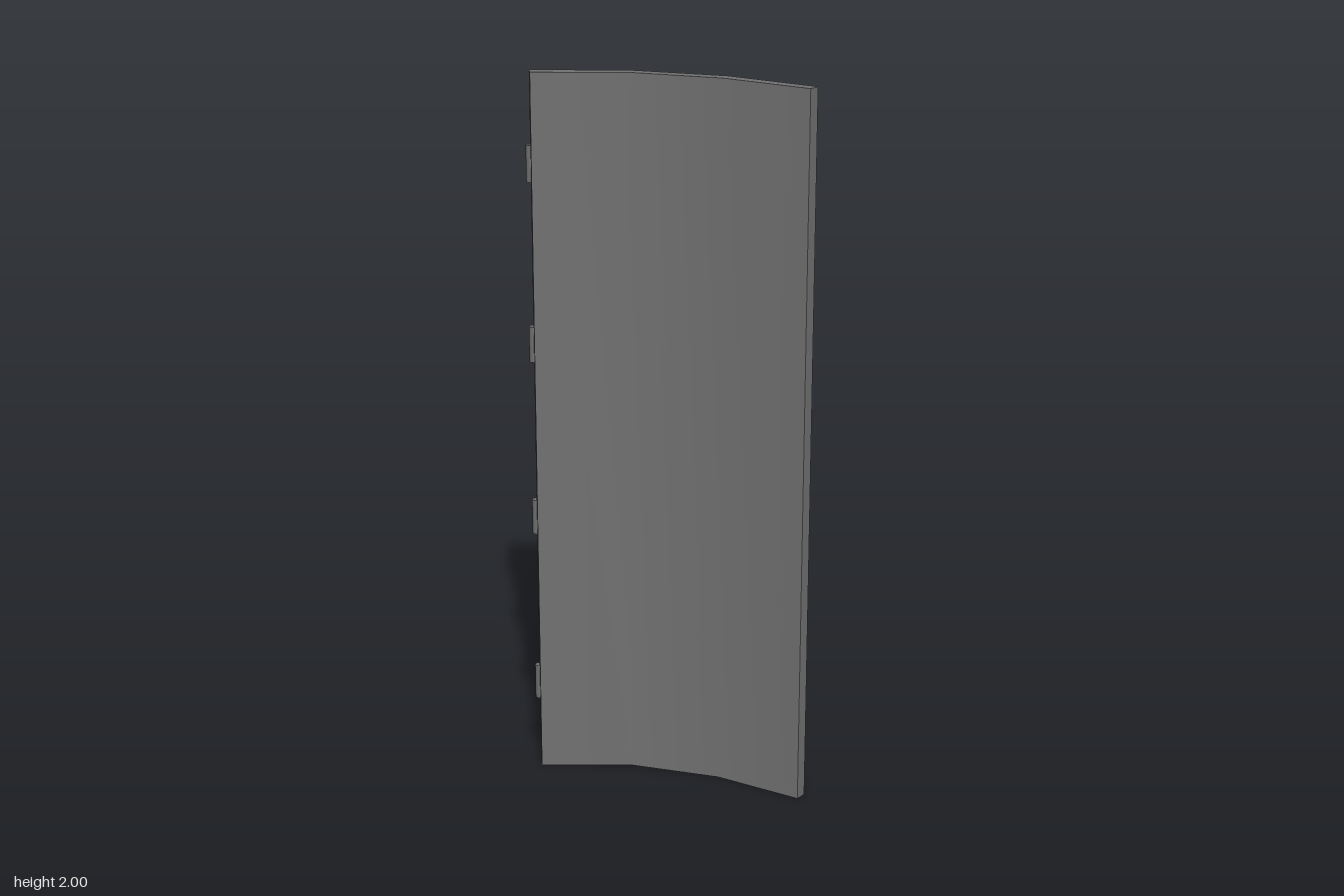
import * as THREE from 'three';
import { toCreasedNormals } from 'three/addons/utils/BufferGeometryUtils.js';

export function createModel() {
  const model = new THREE.Group();
  const darkMetal = new THREE.MeshStandardMaterial({ name: 'dark grey metal', color: 0x717171 });
  const lightMetal = new THREE.MeshStandardMaterial({ name: 'light grey metal', color: 0xa5a5a5 });

  // Curved door leaf: plan outline (x, z), back edge then front edge, extruded upwards
  const back = [[-0.353, 0.135], [-0.143, -0.025], [0.103, -0.126], [0.364, -0.16]];
  const front = [[0.364, -0.128], [0.111, -0.094], [-0.125, 0], [-0.328, 0.16]];
  const shape = new THREE.Shape([...back, ...front].map(([x, z]) => new THREE.Vector2(x, -z)));
  const leaf = new THREE.ExtrudeGeometry(shape, { depth: 2, bevelEnabled: false });
  leaf.rotateX(-Math.PI / 2);
  const panel = new THREE.Mesh(toCreasedNormals(leaf, Math.PI / 6), darkMetal);
  panel.name = 'curvedPanel';
  model.add(panel);

  // Lighter skin on the back, following the same curve
  const skin = new THREE.PlaneGeometry(1, 2, 3, 1);
  const pos = skin.attributes.position;
  for (let i = 0; i < pos.count; i++) {
    const [x, z] = back[3 - (i % 4)];
    pos.setXYZ(i, x, pos.getY(i) + 1, z - 0.0015);
  }
  skin.computeVertexNormals();
  const backSkin = new THREE.Mesh(skin, lightMetal);
  backSkin.name = 'backSkin';
  model.add(backSkin);

  // Four hinge barrels along the right edge
  const barrel = new THREE.CylinderGeometry(0.0125, 0.0125, 0.1, 8);
  for (let i = 0; i < 4; i++) {
    const hinge = new THREE.Mesh(barrel, darkMetal);
    hinge.name = `hinge${i + 1}`;
    hinge.position.set(-0.352, 0.25 + i * 0.5, 0.136);
    model.add(hinge);
  }
  return model;
}
